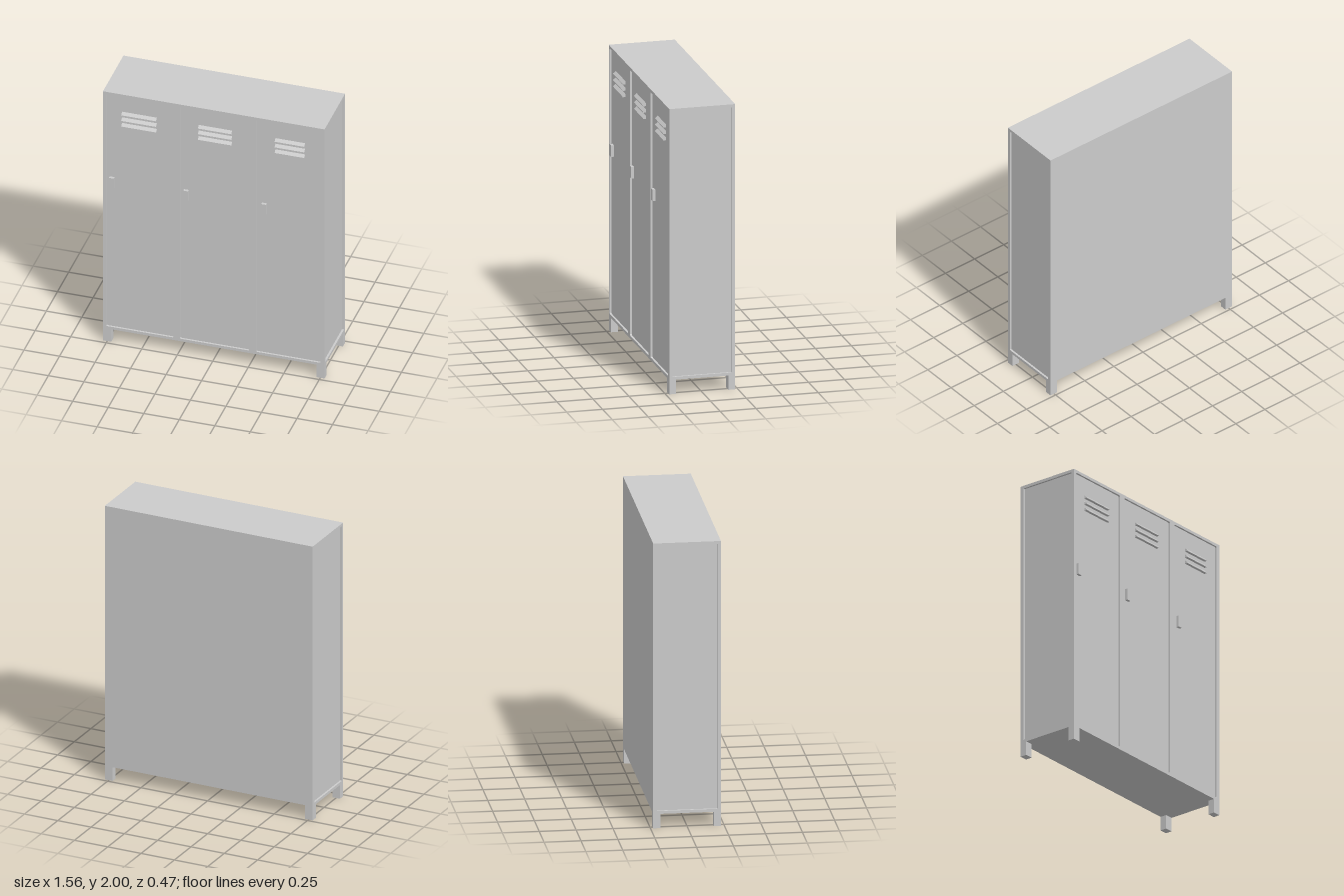
import * as THREE from 'three';

const W = 0.78, BOTTOM = 0.1, TOP = 2, BACK = -0.232, FRONT = 0.227;
const FRAME = 0.022, RECESS = 0.014;
const PANEL_Y = [0.12, 1.98];

export function createModel() {
  const model = new THREE.Group();
  const material = new THREE.MeshStandardMaterial({ color: 0xcccccc });

  const add = (name, geometry, parent = model) => {
    const mesh = new THREE.Mesh(geometry, material);
    mesh.name = name;
    parent.add(mesh);
    return mesh;
  };

  // Box given by its limits on each axis
  const box = (name, [x0, x1], [y0, y1], [z0, z1], parent) => {
    const mesh = add(name, new THREE.BoxGeometry(x1 - x0, y1 - y0, z1 - z0), parent);
    mesh.position.set((x0 + x1) / 2, (y0 + y1) / 2, (z0 + z1) / 2);
    return mesh;
  };

  // Rectangle with slightly rounded corners
  const rect = (path, [x0, x1], [y0, y1], r) => {
    path.moveTo(x0 + r, y0).lineTo(x1 - r, y0).quadraticCurveTo(x1, y0, x1, y0 + r);
    path.lineTo(x1, y1 - r).quadraticCurveTo(x1, y1, x1 - r, y1);
    path.lineTo(x0 + r, y1).quadraticCurveTo(x0, y1, x0, y1 - r);
    path.lineTo(x0, y0 + r).quadraticCurveTo(x0, y0, x0 + r, y0);
    return path;
  };

  // Flat sheet with rectangular openings
  const frame = (xs, openings, r) => {
    const shape = new THREE.Shape([
      new THREE.Vector2(xs[0], BOTTOM), new THREE.Vector2(xs[1], BOTTOM),
      new THREE.Vector2(xs[1], TOP), new THREE.Vector2(xs[0], TOP),
    ]);
    for (const o of openings) shape.holes.push(rect(new THREE.Path(), o, PANEL_Y, r));
    return new THREE.ExtrudeGeometry(shape, { depth: FRAME, bevelEnabled: false, curveSegments: 3 });
  };

  // Cabinet core and front frame
  const inner = W - FRAME;
  box('cabinetBody', [-inner, inner], [BOTTOM, TOP], [BACK, FRONT - FRAME]);
  const doors = [
    { x: [-0.756, -0.285], vent: [-0.65, -0.405], handle: [-0.737, -0.702] },
    { x: [-0.238, 0.25], vent: [-0.11, 0.125], handle: [-0.214, -0.18] },
    { x: [0.3, 0.752], vent: [0.43, 0.638], handle: [0.336, 0.37] },
  ];
  add('frontFrame', frame([-inner, inner], doors.map((d) => d.x), 0.008)).position.z = FRONT - FRAME;

  // Side frames with recessed panels
  for (const s of [1, -1]) {
    const name = s > 0 ? 'left' : 'right';
    const zs = s > 0 ? [-FRONT, -BACK] : [BACK, FRONT];
    const side = add(name + 'SideFrame', frame(zs, [[-0.206, 0.206]], 0.004));
    side.rotation.y = s * Math.PI / 2;
    side.position.x = s * inner;
    const panelX = [s * (inner - 0.01), s * (W - RECESS)].sort((a, b) => a - b);
    box(name + 'SidePanel', panelX, PANEL_Y, [-0.206, 0.206]);
  }

  // Doors with sloping louvres and a handle
  const doorZ = FRONT - RECESS, proud = 0.233;
  doors.forEach((d, i) => {
    const door = new THREE.Group();
    door.name = 'door' + (i + 1);
    model.add(door);
    box('doorPanel', d.x, PANEL_Y, [FRONT - FRAME - 0.01, doorZ], door);
    box('handle', d.handle, [1.236, 1.317], [doorZ, proud], door);

    // Wedge profile: flat underneath, sloping back up to the door
    const out = proud - doorZ;
    const wedge = new THREE.Shape([
      new THREE.Vector2(0, 0), new THREE.Vector2(out, 0),
      new THREE.Vector2(out, 0.006), new THREE.Vector2(0, 0.023),
    ]);
    for (let k = 0; k < 3; k++) {
      const louvre = add('louvre', new THREE.ExtrudeGeometry(wedge, {
        depth: d.vent[1] - d.vent[0], bevelEnabled: false,
      }), door);
      louvre.rotation.y = -Math.PI / 2;
      louvre.position.set(d.vent[1], 1.74 + k * 0.045, doorZ);
    }
  });

  // Four short feet flush with the corners
  for (const s of [1, -1]) {
    const x = s > 0 ? [W - 0.058, W] : [-W, -W + 0.058];
    box('frontFoot', x, [0, BOTTOM], [FRONT - 0.048, FRONT]);
    box('backFoot', x, [0, BOTTOM], [BACK, BACK + 0.048]);
  }
  return model;
}
